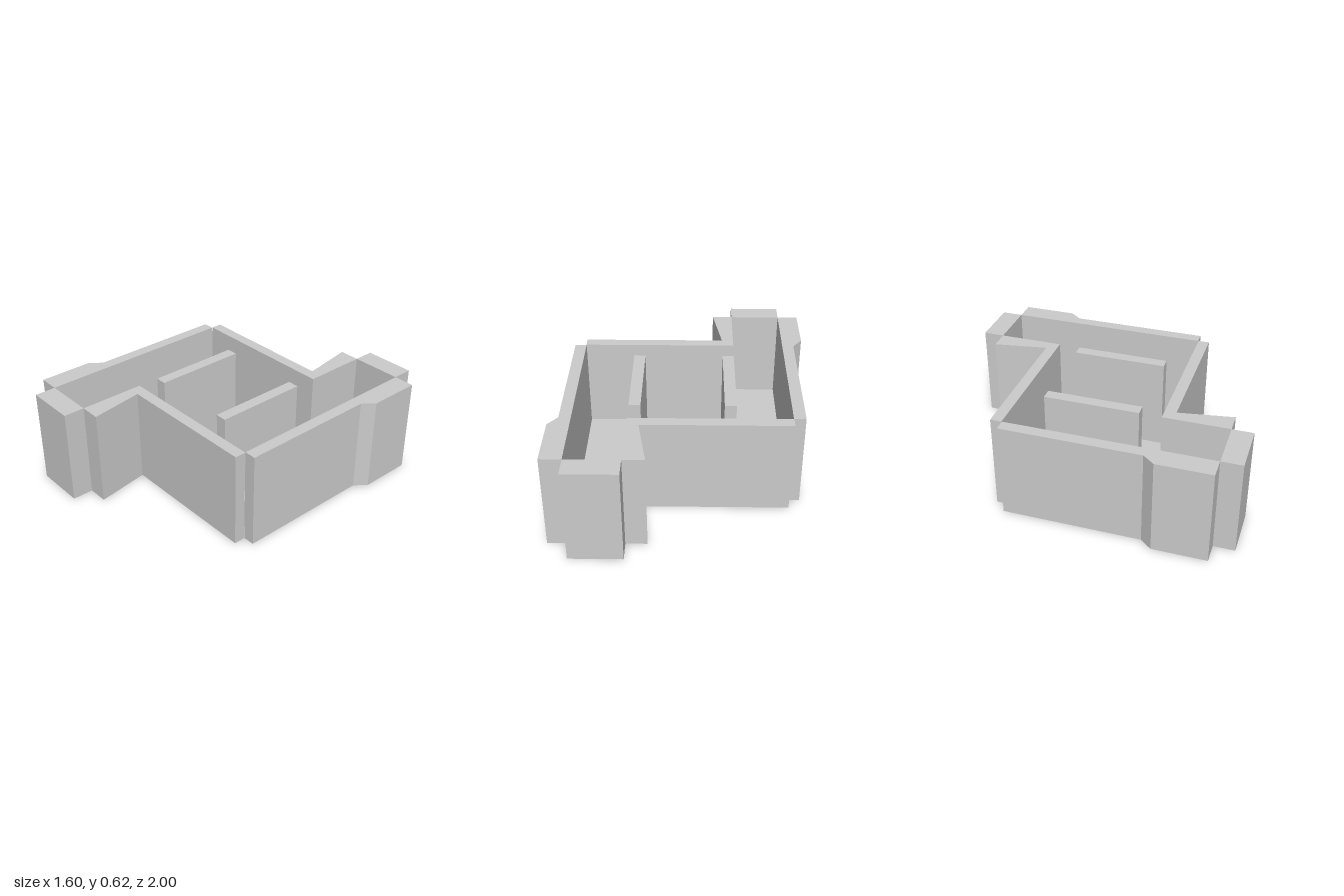
import * as THREE from 'three';

const HEIGHT = 0.62;
const FLOOR = 0.01;

export function createModel() {
  const model = new THREE.Group();
  model.name = 'walledRoom';
  const material = new THREE.MeshStandardMaterial({ color: 0xcccccc, flatShading: true });

  // Extrudes a plan outline of [x, z] corners upwards from the ground
  function addPlan(parent, name, corners, height) {
    const shape = new THREE.Shape(corners.map(([x, z]) => new THREE.Vector2(x, -z)));
    const geometry = new THREE.ExtrudeGeometry(shape, { depth: height, bevelEnabled: false });
    geometry.rotateX(-Math.PI / 2);
    const mesh = new THREE.Mesh(geometry, material);
    mesh.name = name;
    parent.add(mesh);
  }

  // Floor of the hall and its two entrance passages
  const halfFloor = [[-0.67, -0.445], [0.33, -0.445], [0.33, -0.865], [0.665, -0.865], [0.665, -0.445]];
  addPlan(model, 'floor', [...halfFloor, ...halfFloor.map(([x, z]) => [-x, -z])], FLOOR);

  // One half of the walls, repeated with a half turn
  for (const [side, angle] of [['back', 0], ['front', Math.PI]]) {
    const half = new THREE.Group();
    half.name = side + 'Half';
    half.rotation.y = angle;

    // Long side wall, thicker beside the passage
    addPlan(half, 'sideWall', [
      [0.665, -0.865], [0.8, -0.865], [0.8, -0.52], [0.74, -0.445], [0.74, 0.442], [0.665, 0.442],
    ], HEIGHT);

    // End wall that turns into the tapered inner wall of the passage
    addPlan(half, 'endWall', [
      [0.2, -0.865], [0.333, -0.865], [0.333, -0.445], [-0.667, -0.445], [-0.667, -0.517], [0.257, -0.517],
    ], HEIGHT);

    // Block closing the passage
    addPlan(half, 'passageEnd', [
      [0.333, -1], [0.665, -1], [0.665, -0.865], [0.333, -0.865],
    ], HEIGHT);

    // Free-standing partition
    addPlan(half, 'partition', [
      [0.257, -0.305], [0.331, -0.305], [0.331, 0.305], [0.257, 0.305],
    ], HEIGHT);

    model.add(half);
  }
  return model;
}
